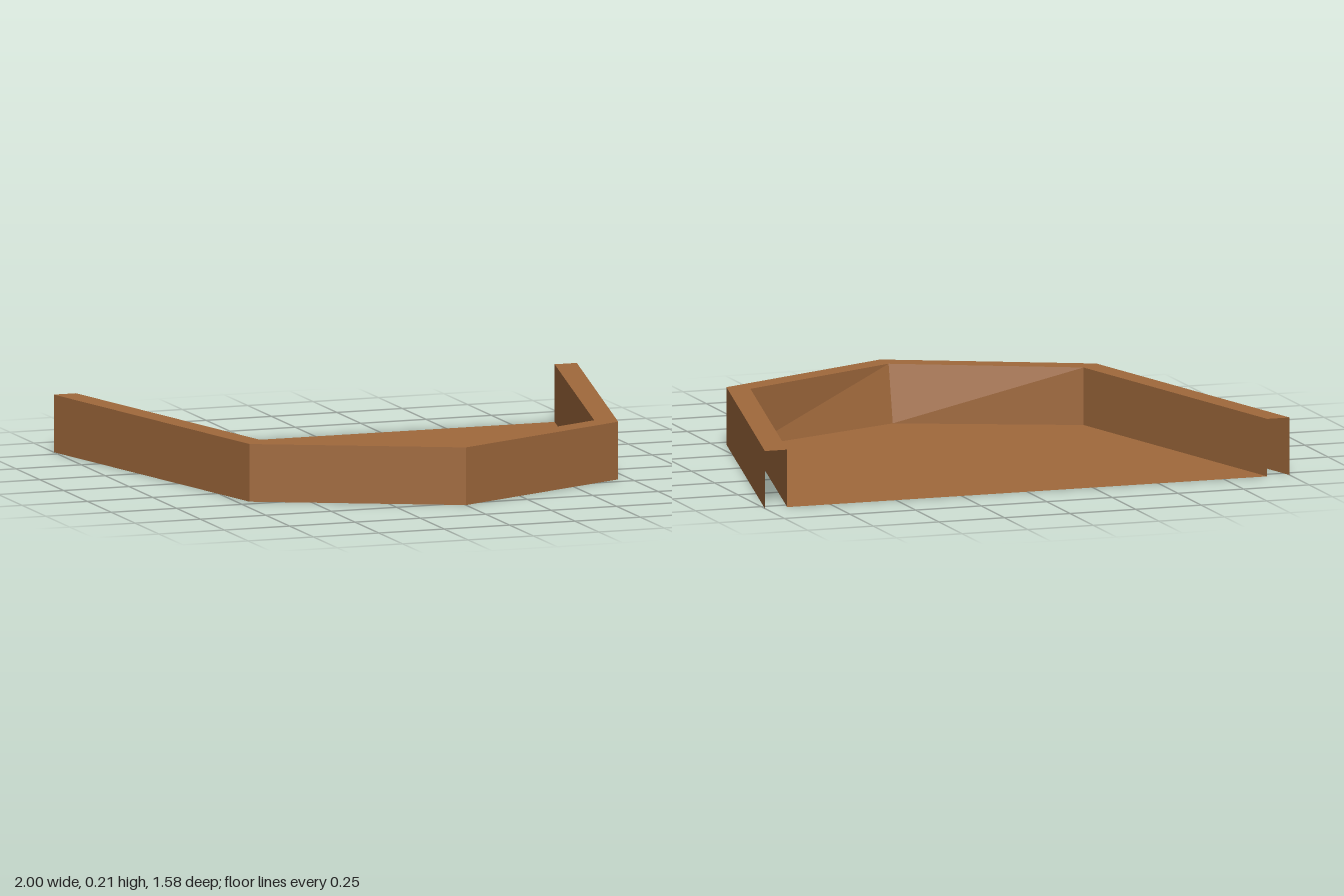
import * as THREE from 'three';

const H = 0.21;

// Plan outlines as [x, z], running from the right back end round the front tip to the left back end
const mirrored = (half, tip) => [
  ...half.map(([x, z]) => [-x, z]), tip,
  ...half.slice().reverse(),
];
const outer = mirrored([[1, -0.79], [0.705, 0.455]], [0, 0.79]);
const innerHalf = [[0.915, -0.79], [0.635, 0.395]];
const innerTop = mirrored(innerHalf, [0, 0.70]);
const innerBase = mirrored(innerHalf, [0, 0.655]);

const lift = (outline, y) => outline.map(([x, z]) => [x, y, z]);

function flatGeometry(positions) {
  const g = new THREE.BufferGeometry();
  g.setAttribute('position', new THREE.Float32BufferAttribute(positions.flat(), 3));
  g.computeVertexNormals();
  return g;
}

// Flat-faced band between two matching outlines
function band(low, high) {
  const p = [];
  for (let i = 0; i < low.length - 1; i++) {
    p.push(low[i], low[i + 1], high[i + 1], low[i], high[i + 1], high[i]);
  }
  return flatGeometry(p);
}

// Flat panel fanned from the first corner
function panel(outline) {
  const p = [];
  for (let i = 1; i < outline.length - 1; i++) p.push(outline[0], outline[i], outline[i + 1]);
  return flatGeometry(p);
}

export function createModel() {
  const group = new THREE.Group();
  group.name = 'tray';
  const wood = new THREE.MeshStandardMaterial({ color: 0xa0693c, side: THREE.DoubleSide });
  wood.name = 'brown wood';

  const add = (name, geometry) => {
    const mesh = new THREE.Mesh(geometry, wood);
    mesh.name = name;
    group.add(mesh);
  };

  // Hollow raised border, open at the back ends and underneath
  add('outerWall', band(lift(outer, 0), lift(outer, H)));
  add('topRim', band(lift(outer, H), lift(innerTop, H)));
  add('innerWall', band(lift(innerTop, H), lift(innerBase, 0)));

  // Floor inside the border
  add('floor', panel(lift(innerBase, 0)));

  return group;
}
